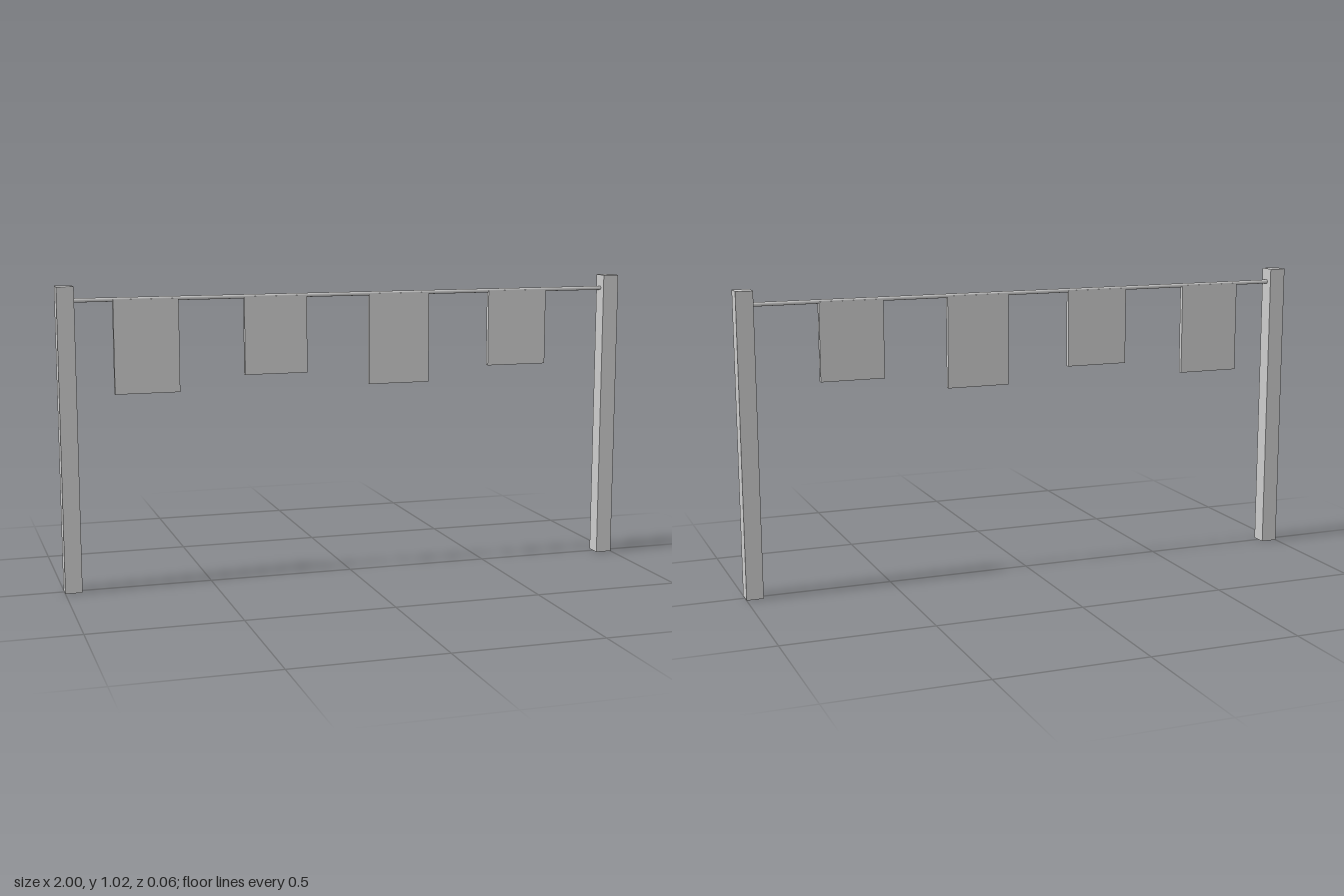
import * as THREE from 'three';

export function createModel() {
  const model = new THREE.Group();
  model.name = 'bannerLine';
  const grey = new THREE.MeshStandardMaterial({ color: 0xcccccc, side: THREE.DoubleSide });
  grey.name = 'plain grey';

  const add = (name, geometry, x, y) => {
    const mesh = new THREE.Mesh(geometry, grey);
    mesh.name = name;
    mesh.position.set(x, y, 0);
    model.add(mesh);
    return mesh;
  };

  // Box without its underside
  const openBox = (width, height, depth) => {
    const box = new THREE.BoxGeometry(width, height, depth);
    const corners = Array.from(box.index.array);
    corners.splice(18, 6);
    box.setIndex(corners);
    box.clearGroups();
    return box;
  };

  // Square posts at both ends
  const postHeight = 1.02, postWidth = 0.057;
  for (const side of [-1, 1]) {
    add(side > 0 ? 'leftPost' : 'rightPost',
      openBox(postWidth, postHeight, postWidth),
      side * (1 - postWidth / 2), postHeight / 2);
  }

  // Thin straight line between the posts
  const lineY = 0.973;
  const line = add('line', new THREE.CylinderGeometry(0.007, 0.007, 1.89, 16), 0, lineY);
  line.rotation.z = Math.PI / 2;

  // Hanging cloths, alternately long and short
  for (let i = 0; i < 4; i++) {
    const height = i % 2 ? 0.265 : 0.314;
    add('cloth' + (i + 1), openBox(0.218, height, 0.017),
      -0.706 + i * 0.441, lineY - height / 2);
  }
  return model;
}
